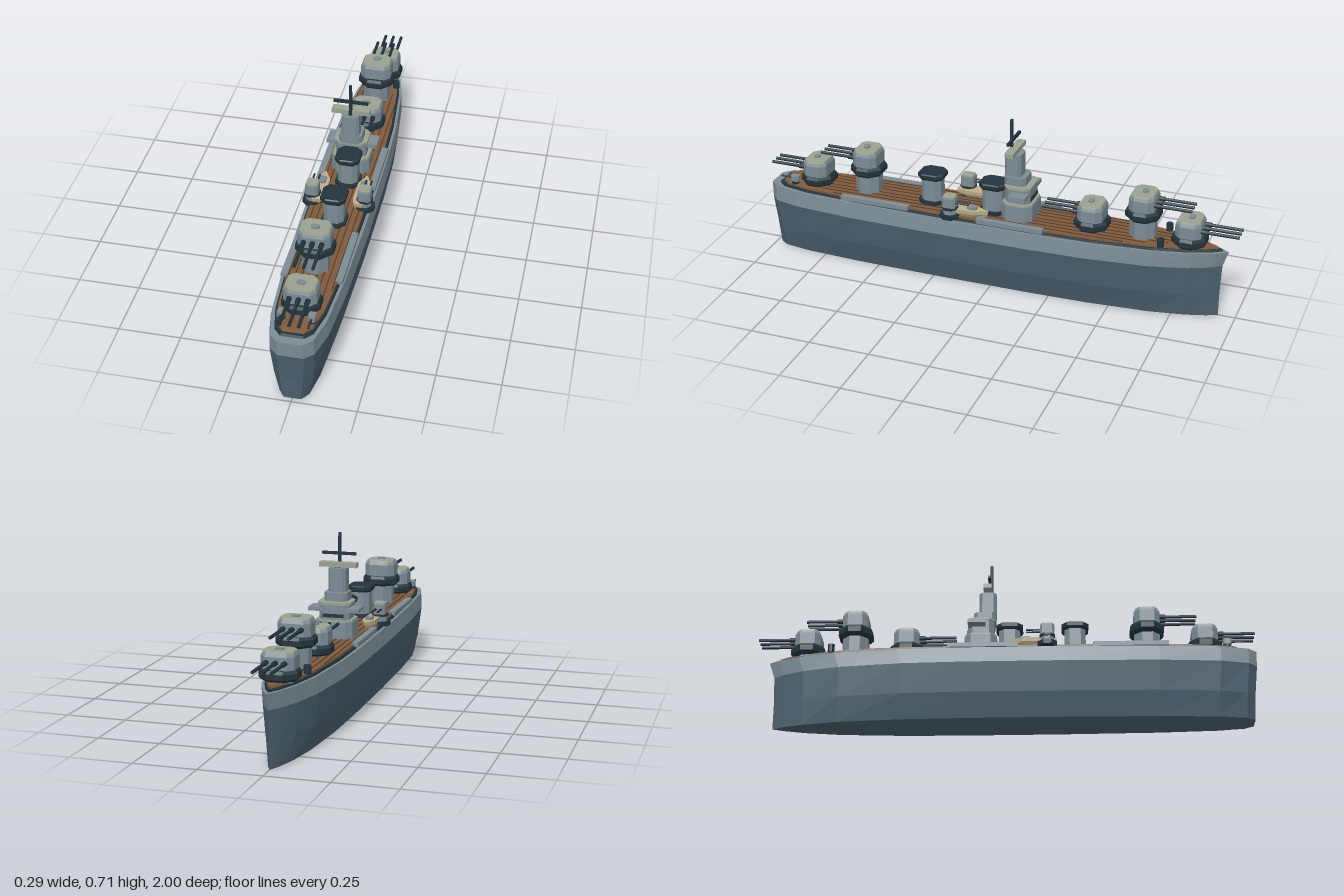
import * as THREE from 'three';

const mat = (name, color, side = THREE.FrontSide) => {
  const m = new THREE.MeshStandardMaterial({ color, side });
  m.name = name;
  return m;
};

export function createModel() {
  const M = {
    hull: mat('slate hull', 0x4a5f6c),
    grey: mat('ship grey', 0x7c8c94),
    dark: mat('dark steel', 0x22343c),
    roof: mat('pale roof', 0x9ba290),
    deck: mat('wood deck', 0x7f5a3c),
    seam: mat('deck seam', 0x553c2a),
    cream: mat('cream boat', 0xbcae8a),
  };
  const ship = new THREE.Group();

  const add = (parent, name, geo, material, x = 0, y = 0, z = 0) => {
    const mesh = new THREE.Mesh(geo, material);
    mesh.name = name;
    mesh.position.set(x, y, z);
    parent.add(mesh);
    return mesh;
  };
  const group = (name, x = 0, y = 0, z = 0, parent = ship) => {
    const g = new THREE.Group();
    g.name = name;
    g.position.set(x, y, z);
    parent.add(g);
    return g;
  };

  // Faceted solid from one convex plan outline; each ring is [y, xScale, zScale, zShift]
  const loft = (outline, rings) => {
    const pos = [], n = outline.length;
    const P = (r, i) => {
      const [y, sx, sz, dz = 0] = rings[r], [x, z] = outline[i % n];
      return [x * sx, y, z * sz + dz];
    };
    const tri = (a, b, c) => pos.push(...a, ...b, ...c);
    for (let r = 0; r < rings.length - 1; r++)
      for (let i = 0; i < n; i++) {
        tri(P(r, i), P(r, i + 1), P(r + 1, i + 1));
        tri(P(r, i), P(r + 1, i + 1), P(r + 1, i));
      }
    const top = rings.length - 1;
    for (let i = 1; i < n - 1; i++) {
      tri(P(top, 0), P(top, i), P(top, i + 1));
      tri(P(0, 0), P(0, i + 1), P(0, i));
    }
    const g = new THREE.BufferGeometry();
    g.setAttribute('position', new THREE.Float32BufferAttribute(pos, 3));
    g.computeVertexNormals();
    return g;
  };
  // Rectangle with cut corners
  const cut = (w, d, c) => {
    const x = w / 2, z = d / 2;
    return [[x - c, z], [x, z - c], [x, c - z], [x - c, -z], [c - x, -z], [-x, c - z], [-x, z - c], [c - x, z]];
  };
  const block = (w, h, d, c) => loft(cut(w, d, c), [[0, 1, 1], [h, 1, 1]]);
  const box = (w, h, d) => new THREE.BoxGeometry(w, h, d);
  const drum = (r0, r1, h, sides = 8) => {
    const g = new THREE.CylinderGeometry(r1, r0, h, sides).rotateY(Math.PI / sides).translate(0, h / 2, 0).toNonIndexed();
    g.computeVertexNormals();
    return g;
  };
  const rod = (r, len) => new THREE.CylinderGeometry(r, r, len, 8).rotateX(Math.PI / 2).translate(0, 0, len / 2);

  // Hull: blunt stern at +z, pointed bow at -z
  const half = [[0.05, 1], [0.085, 0.965], [0.112, 0.85], [0.13, 0.6], [0.138, 0.22], [0.138, -0.2],
    [0.13, -0.46], [0.103, -0.72], [0.066, -0.87], [0.03, -0.955]];
  const plan = [...half, [0, -1], ...half.slice().reverse().map(([x, z]) => [-x, z])];
  const ring = (y, s, stern, bow) => [y, s, (stern - bow) / 2, (stern + bow) / 2];
  add(ship, 'lowerHull', loft(plan, [ring(0, 0.67, 0.98, -0.93), ring(0.1, 0.88, 0.985, -0.93),
    ring(0.222, 1, 0.998, -0.935)]), M.hull);
  add(ship, 'upperHull', loft(plan, [ring(0.222, 1, 0.998, -0.935), ring(0.287, 0.945, 1, -0.957)]), M.grey);
  add(ship, 'deckCoaming', loft(plan, [ring(0.287, 0.86, 0.965, -0.935), ring(0.296, 0.84, 0.96, -0.93)]), M.dark);
  add(ship, 'deck', loft(plan, [ring(0.29, 0.8, 0.95, -0.92), ring(0.304, 0.79, 0.945, -0.915)]), M.deck);
  for (const x of [0.015, 0.04, 0.065, 0.09])
    for (const s of [-1, 1]) {
      const front = -0.86 + x * 3.4, back = 0.92 - x * 2.5;
      add(ship, 'plankSeam', box(0.004, 0.003, back - front), M.seam, s * x, 0.305, (front + back) / 2);
    }
  for (const s of [-1, 1]) {
    add(ship, 'sideLocker', box(0.026, 0.018, 0.3), M.grey, s * 0.106, 0.302, 0.5);
    add(ship, 'sidePlatform', box(0.026, 0.018, 0.28), M.grey, s * 0.112, 0.302, -0.09);
    add(ship, 'bollard', drum(0.014, 0.014, 0.035), M.dark, s * 0.07, 0.3, -0.7);
  }

  // Triple gun turrets: [z, base height of house, facing]
  const gun = (z, y, dir) => {
    const t = group('mainTurret', 0, 0, z);
    add(t, 'barbette', drum(0.056, 0.056, y - 0.295), M.grey, 0, 0.295, 0);
    add(t, 'collar', loft(cut(0.148, 0.136, 0.042), [[y - 0.043, 0.87, 0.87], [y - 0.033, 1, 1],
      [y - 0.012, 1, 1], [y, 0.9, 0.9]]), M.dark);
    const h = group('house', 0, y, 0, t);
    h.rotation.y = dir > 0 ? 0 : Math.PI;
    add(h, 'gunHouse', loft(cut(0.128, 0.104, 0.022), [[0, 1, 1], [0.048, 1, 1], [0.06, 0.92, 0.9]]), M.grey);
    add(h, 'houseRoof', loft(cut(0.118, 0.094, 0.02), [[0.059, 1, 1], [0.067, 0.95, 0.95]]), M.roof);
    add(h, 'roofHatch', block(0.032, 0.008, 0.022, 0.006), M.grey, 0, 0.066, 0.005);
    for (const x of [-0.035, 0, 0.035]) {
      add(h, 'barrelSleeve', rod(0.01, 0.03), M.dark, x, 0.028, 0.045);
      add(h, 'barrel', rod(0.0065, 0.155), M.dark, x, 0.028, 0.045);
    }
  };
  [[0.8, 0.346, 1], [0.57, 0.426, 1], [-0.4, 0.346, 1], [-0.61, 0.426, -1], [-0.8, 0.346, -1]].forEach((a) => gun(...a));

  // Funnels with wide dark caps
  for (const z of [0.28, 0.015]) {
    const f = group('funnel', 0.008, 0, z);
    add(f, 'funnelBase', block(0.1, 0.02, 0.11, 0.025), M.dark, 0, 0.298, 0);
    add(f, 'funnelStack', block(0.08, 0.11, 0.085, 0.02), M.grey, 0, 0.31, 0);
    add(f, 'funnelCap', loft(cut(0.1, 0.108, 0.022), [[0.412, 0.92, 0.92], [0.42, 1, 1], [0.434, 1, 1], [0.438, 0.92, 0.92]]), M.dark);
  }

  // Bridge tower
  const b = group('bridge', 0, 0, -0.1);
  add(b, 'bridgeBase', block(0.155, 0.07, 0.13, 0.025), M.grey, 0, 0.3, 0);
  add(b, 'bridgeBaseRoof', block(0.15, 0.008, 0.125, 0.024), M.roof, 0, 0.37, 0);
  add(b, 'bridgeTier', block(0.125, 0.065, 0.105, 0.02), M.grey, 0, 0.377, 0);
  add(b, 'bridgeWing', box(0.208, 0.016, 0.07), M.grey, 0, 0.418, -0.015);
  add(b, 'bridgeRoof', block(0.135, 0.01, 0.11, 0.02), M.roof, 0, 0.438, 0);
  add(b, 'bridgeWindows', box(0.085, 0.014, 0.006), M.dark, 0, 0.395, -0.053);
  add(b, 'towerFoot', block(0.095, 0.035, 0.09, 0.015), M.grey, 0, 0.447, 0.015);
  add(b, 'tower', block(0.072, 0.098, 0.07, 0.012), M.grey, 0, 0.478, 0.027);
  add(b, 'rangefinder', box(0.154, 0.019, 0.034), M.roof, 0, 0.588, 0.027);
  add(b, 'rangefinderPost', drum(0.015, 0.015, 0.01), M.dark, 0, 0.574, 0.027);
  add(b, 'mast', drum(0.0075, 0.0065, 0.14), M.dark, 0, 0.574, 0.042);
  add(b, 'mastYard', box(0.14, 0.011, 0.011), M.dark, 0, 0.632, 0.034);

  for (const s of [-1, 1]) {
    // Ship's boats
    const boat = group('boat', s * 0.085, 0, 0.11);
    const outline = [[0.018, 0.095], [0.027, 0.06], [0.027, -0.045], [0, -0.1], [-0.027, -0.045], [-0.027, 0.06], [-0.018, 0.095]];
    add(boat, 'boatHull', loft(outline, [[0.304, 0.6, 0.85], [0.32, 0.95, 0.97], [0.336, 1, 1]]), M.cream);
    add(boat, 'boatCabin', block(0.028, 0.012, 0.04, 0.007), M.grey, 0, 0.335, -0.03);

    // Secondary side guns, trained towards the bow
    const g = group('sideGun', s * 0.106, 0, 0.168);
    add(g, 'sideGunCollar', drum(0.042, 0.042, 0.018), M.dark, 0, 0.295, 0);
    add(g, 'sideGunPedestal', drum(0.028, 0.028, 0.03), M.grey, 0, 0.312, 0);
    add(g, 'sideGunRing', drum(0.034, 0.034, 0.01), M.dark, 0, 0.334, 0);
    add(g, 'sideGunHouse', block(0.052, 0.042, 0.058, 0.009), M.grey, 0, 0.343, 0);
    add(g, 'sideGunRoof', block(0.046, 0.006, 0.05, 0.008), M.roof, 0, 0.385, 0);
    for (const x of [-0.011, 0.011])
      add(g, 'sideGunBarrel', rod(0.004, 0.06), M.dark, x, 0.366, -0.085);

    // Small stern guns
    const a = group('sternGun', s * 0.058, 0, 0.885);
    add(a, 'sternGunBase', drum(0.016, 0.016, 0.016), M.dark, 0, 0.3, 0);
    add(a, 'sternGunHouse', block(0.028, 0.024, 0.035, 0.006), M.grey, 0, 0.315, 0);
    add(a, 'sternGunBarrel', rod(0.004, 0.05), M.dark, 0, 0.328, 0.015);
  }
  return ship;
}
